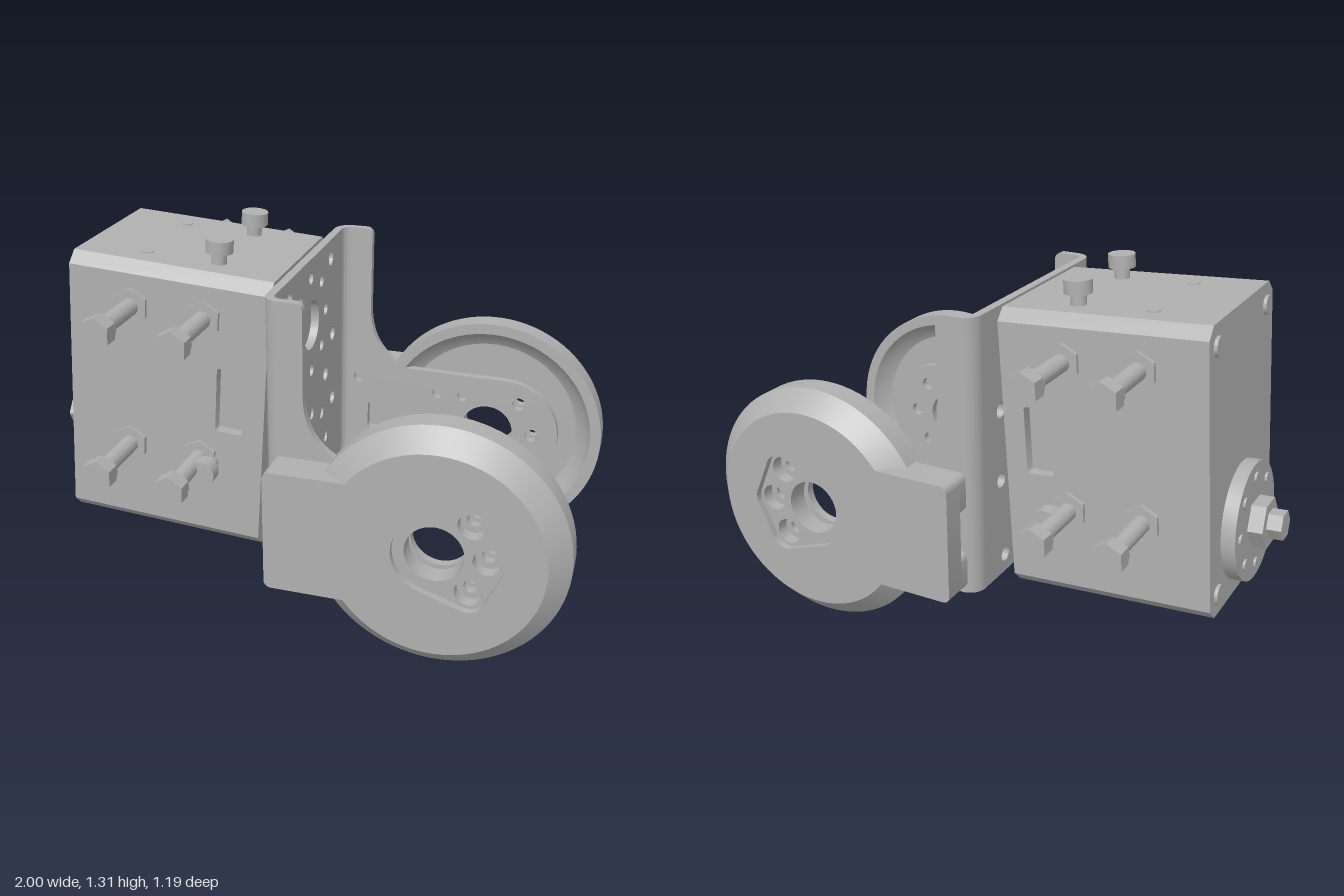
import * as THREE from 'three';
import { toCreasedNormals } from 'three/addons/utils/BufferGeometryUtils.js';

const metal = new THREE.MeshStandardMaterial({ color: 0xb0b0b0, side: THREE.DoubleSide });
metal.name = 'plain grey metal';

function add(parent, name, geo) {
  const mesh = new THREE.Mesh(toCreasedNormals(geo, 0.5), metal);
  mesh.name = name;
  parent.add(mesh);
  return mesh;
}

function group(parent, name) {
  const g = new THREE.Group();
  g.name = name;
  parent.add(g);
  return g;
}

function polygon(points) {
  return new THREE.Shape(points.map(([x, y]) => new THREE.Vector2(x, y)));
}

function disc(x, y, r) {
  return new THREE.Shape().absarc(x, y, r, 0, Math.PI * 2);
}

function roundRect(x0, y0, x1, y1, r) {
  const s = new THREE.Shape();
  s.absarc(x1 - r, y1 - r, r, 0, Math.PI / 2);
  s.absarc(x0 + r, y1 - r, r, Math.PI / 2, Math.PI);
  s.absarc(x0 + r, y0 + r, r, Math.PI, Math.PI * 1.5);
  s.absarc(x1 - r, y0 + r, r, Math.PI * 1.5, Math.PI * 2);
  return s;
}

// Slab of a shape between two depths
function slab(shape, z0, z1, holes = []) {
  shape.holes.push(...holes);
  const g = new THREE.ExtrudeGeometry(shape, { depth: z1 - z0, bevelEnabled: false, curveSegments: 32 });
  return g.translate(0, 0, z0);
}

// Cylinder or prism along an axis, from a to b on that axis
function rod(axis, r, a, b, [u, v], sides = 24) {
  const g = new THREE.CylinderGeometry(r, r, b - a, sides);
  const m = (a + b) / 2;
  if (axis === 'x') return g.rotateZ(-Math.PI / 2).translate(m, u, v);
  if (axis === 'z') return g.rotateX(Math.PI / 2).translate(u, v, m);
  return g.translate(u, m, v);
}

const WX = 0.56, WY = 0.44; // wheel centre
const boltHoles = [[0.68, 0.565], [0.735, 0.44], [0.68, 0.315]];

function buildHousing(root) {
  const body = group(root, 'motorHousing');
  body.position.set(-0.465, 0.729, 0);
  body.rotation.z = -0.066;
  const w = 0.365, h = 0.505, c = 0.04, z0 = 0.27, z1 = 0.31;

  // Core with chamfered long edges
  const half = [[z0, h], [z1, h - c], [z0, h - c], [z0, c - h], [z1, c - h], [z0, -h]];
  const outline = [...half, ...half.map(([z, y]) => [-z, y]).reverse()];
  add(body, 'housingCore', slab(polygon(outline), -w, w).rotateY(Math.PI / 2));

  for (const s of [1, -1]) {
    const side = group(body, s > 0 ? 'frontSide' : 'backSide');
    side.scale.z = s;
    const wall = polygon([[-w, c - h], [w, c - h], [w, h - c], [-w, h - c]]);
    add(side, 'sideWall', slab(wall, z0, z1, [roundRect(0.187, -0.064, 0.287, 0.176, 0.012)]));
    for (const x of [-0.133, 0.133]) for (const y of [0.35, -0.177]) {
      add(side, 'boltNut', rod('z', 0.066, z1, z1 + 0.014, [x, y], 6));
      add(side, 'boltShaft', rod('z', 0.031, z1, 0.54, [x, y]));
      add(side, 'boltFlange', rod('z', 0.05, 0.53, 0.545, [x, y]));
      add(side, 'boltHead', rod('z', 0.058, 0.54, 0.595, [x, y], 6));
    }
    add(side, 'sideScrewShaft', rod('z', 0.025, z1, 0.37, [0.178, -0.189]));
    add(side, 'sideScrewHead', rod('z', 0.048, 0.365, 0.415, [0.178, -0.189]));
    // Top screws and empty screw seats
    add(side, 'topScrewShaft', rod('y', 0.027, h - 0.01, 0.55, [0.132, 0.175]));
    add(side, 'topScrewHead', rod('y', 0.048, 0.545, 0.592, [0.132, 0.175]));
    for (const y of [h, -h]) {
      add(side, 'screwSeat', rod('y', 0.024, y - 0.003, y + 0.003, [-0.133, 0.175], 6));
    }
    for (const y of [0.43, -0.43]) {
      add(side, 'endCornerScrew', rod('x', 0.034, -w - 0.012, -w, [y, 0.24]));
    }
  }

  // Output discs on both ends
  const axis = [-0.26, 0];
  add(body, 'rearDisc', rod('x', 0.21, -0.415, -w, axis, 48));
  add(body, 'rearHub', rod('x', 0.09, -0.468, -0.41, axis, 6));
  add(body, 'rearNut', rod('x', 0.052, -0.52, -0.46, axis, 6));
  add(body, 'driveDisc', rod('x', 0.21, w, 0.405, axis, 48));
  for (let i = 0; i < 8; i++) {
    const a = i * Math.PI / 4;
    add(body, 'discScrew', rod('x', 0.02, -0.423, -0.41, [-0.26 + 0.16 * Math.cos(a), 0.16 * Math.sin(a)], 12));
  }
}

function buildBackPlate(bracket) {
  const holes = [disc(0, 0.965, 0.09), disc(0, 0.44, 0.09)];
  for (let i = 0; i < 8; i++) {
    const a = i * Math.PI / 4, z = 0.175 * Math.sin(a), y = 0.175 * Math.cos(a);
    holes.push(disc(z, 0.965 + y, 0.022));
    if (i === 4) continue;
    holes.push(disc(z, 0.44 + y, 0.023));
    add(bracket, 'plateScrew', rod('x', 0.02, -0.075, -0.032, [0.44 + y, z], 6));
  }
  for (const [z, y] of [[0.24, 1.14], [0.265, 0.835], [0.175, 0.705], [0.265, 0.57], [0.24, 0.265]]) {
    holes.push(disc(z, y, 0.027), disc(-z, y, 0.027));
  }
  const plate = polygon([[-0.385, 0.197], [0.385, 0.197], [0.385, 1.21], [-0.385, 1.21]]);
  add(bracket, 'backPlate', slab(plate, -0.055, -0.025, holes).rotateY(Math.PI / 2));
}

function buildArm(side) {
  // Rounded bend joining the plate and the arm
  const bend = new THREE.Shape();
  bend.absarc(0.005, -0.385, 0.06, Math.PI, Math.PI * 1.5);
  bend.absarc(0.005, -0.385, 0.03, Math.PI * 1.5, Math.PI, true);
  add(side, 'bracketBend', slab(bend, 0.197, 1.21).rotateX(-Math.PI / 2));

  // Flat arm reaching into the wheel
  const arm = new THREE.Shape();
  arm.moveTo(0.005, 0.197);
  arm.lineTo(0.14, 0.197);
  arm.quadraticCurveTo(0.18, 0.2, 0.21, 0.225);
  arm.lineTo(0.6, 0.225);
  arm.absarc(0.62, 0.44, 0.215, -Math.PI / 2, Math.PI / 2);
  arm.lineTo(0.24, 0.66);
  arm.bezierCurveTo(0.13, 0.7, 0.085, 0.78, 0.085, 0.9);
  arm.lineTo(0.085, 1.18);
  arm.quadraticCurveTo(0.085, 1.21, 0.055, 1.21);
  arm.lineTo(0.005, 1.21);
  const holes = [disc(WX, WY, 0.1), roundRect(0.08, 0.385, 0.23, 0.495, 0.015)];
  for (const [x, y] of boltHoles) holes.push(disc(x, y, 0.025));
  for (const [x, y] of [[0.04, 0.6], [0.04, 0.28], [0.36, 0.57], [0.36, 0.31], [0.46, 0.57], [0.46, 0.31]]) {
    holes.push(disc(x, y, 0.02));
  }
  add(side, 'bracketArm', slab(arm, 0.415, 0.445, holes));
}

function buildWheel(side) {
  const wheel = group(side, 'wheelGuard');
  // Rim, open where the arm enters
  const profile = [[0.34, 0.47], [0.375, 0.45], [0.4, 0.415], [0.44, 0.415], [0.44, 0.5], [0.37, 0.57], [0.34, 0.57]]
    .map(([r, z]) => new THREE.Vector2(r, z));
  const gap = 0.53;
  const rim = new THREE.LatheGeometry([...profile, profile[0]], 72, gap - Math.PI / 2, Math.PI * 2 - gap * 2);
  add(wheel, 'wheelRim', rim.rotateX(Math.PI / 2).translate(WX, WY, 0));
  for (const s of [1, -1]) {
    const cap = new THREE.ShapeGeometry(new THREE.Shape(profile)).rotateX(Math.PI / 2);
    // The profile depth is turned to run along z
    cap.scale(1, 1, 1).rotateZ(Math.PI + s * gap).translate(WX, WY, 0);
    add(wheel, 'rimEnd', cap);
  }

  // Outer face with a teardrop pocket, and the drilled floor behind it
  const pocket = new THREE.Path();
  pocket.absarc(WX, WY, 0.14, Math.PI * 0.62, Math.PI * 1.38);
  pocket.absarc(0.68, 0.315, 0.06, -Math.PI * 0.62, -0.3);
  pocket.absarc(0.735, 0.44, 0.06, -0.5, 0.5);
  pocket.absarc(0.68, 0.565, 0.06, 0.3, Math.PI * 0.62);
  add(wheel, 'wheelFace', slab(disc(WX, WY, 0.37), 0.545, 0.57, [pocket]));
  const bores = [disc(WX, WY, 0.1), ...boltHoles.map(([x, y]) => disc(x, y, 0.048))];
  add(wheel, 'wheelWeb', slab(disc(WX, WY, 0.36), 0.5, 0.545, bores));
  const smallBores = [disc(WX, WY, 0.1), ...boltHoles.map(([x, y]) => disc(x, y, 0.025))];
  add(wheel, 'wheelFloor', slab(disc(WX, WY, 0.36), 0.47, 0.5, smallBores));

  // Mounting tab over the arm
  add(wheel, 'mountTab', slab(roundRect(-0.018, 0.22, 0.3, 0.662, 0.025), 0.485, 0.57));
  add(wheel, 'tabUpperRail', slab(roundRect(-0.018, 0.52, 0.27, 0.662, 0.025), 0.445, 0.485));
  add(wheel, 'tabLowerRail', slab(roundRect(-0.018, 0.22, 0.27, 0.36, 0.025), 0.445, 0.485));
}

export function createModel() {
  const root = new THREE.Group();
  root.name = 'motorBracketAssembly';
  buildHousing(root);
  const bracket = group(root, 'bracket');
  buildBackPlate(bracket);
  for (const s of [1, -1]) {
    const side = group(bracket, s > 0 ? 'frontArm' : 'backArm');
    side.scale.z = s;
    buildArm(side);
    buildWheel(side);
  }
  return root;
}
